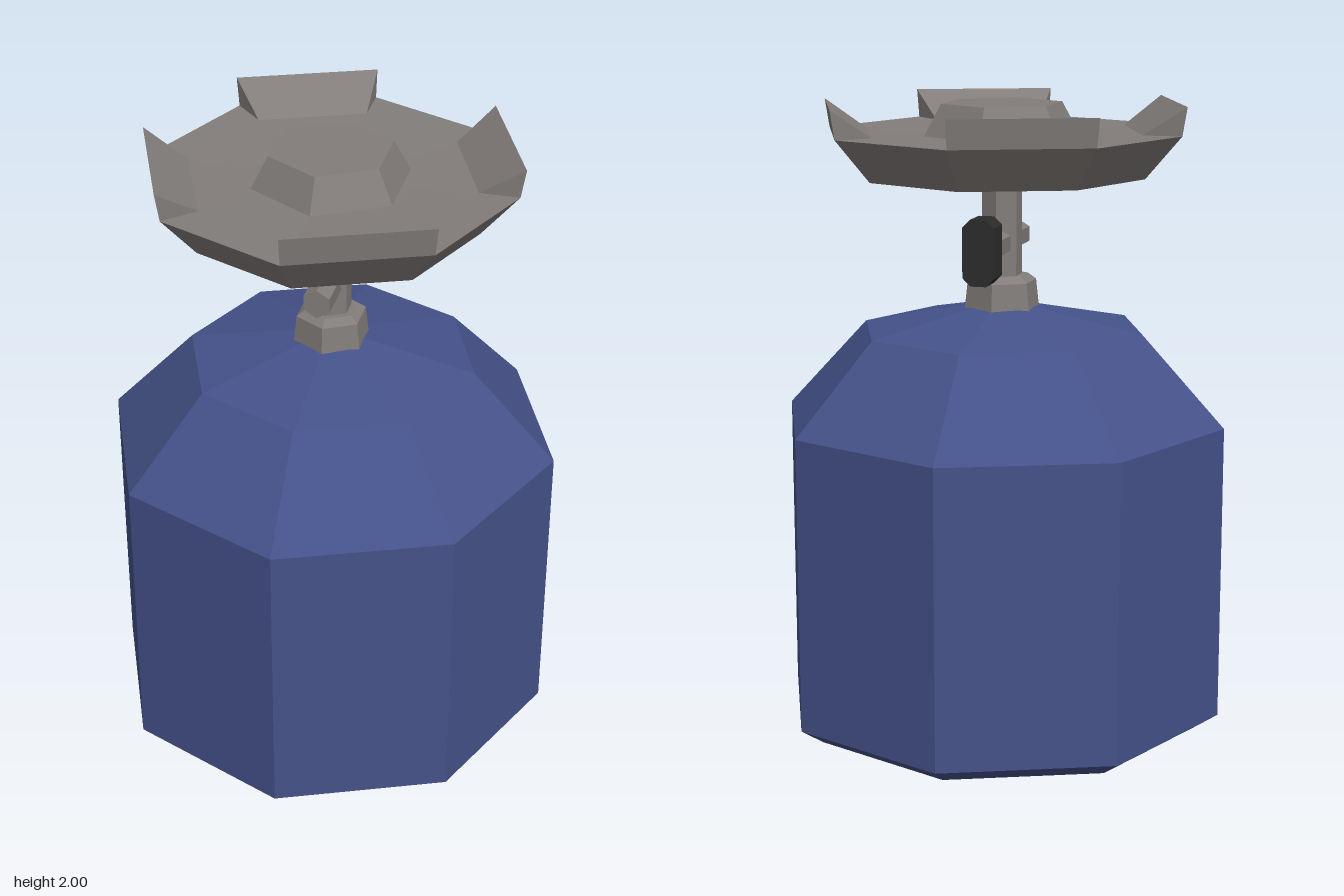
import * as THREE from 'three';

const steel = new THREE.MeshStandardMaterial({ color: 0x827d7a });
steel.name = 'warm grey steel';
const blue = new THREE.MeshStandardMaterial({ color: 0x45528a });
blue.name = 'canister blue';
const black = new THREE.MeshStandardMaterial({ color: 0x2c2c2c });
black.name = 'knob black';

// Faceted mesh: split the faces so each gets its own normal
function part(name, geometry, material) {
  const flat = geometry.index ? geometry.toNonIndexed() : geometry;
  flat.computeVertexNormals();
  const mesh = new THREE.Mesh(flat, material);
  mesh.name = name;
  return mesh;
}

// Turned shape with few sides; profile runs from bottom centre to top centre
function turned(name, profile, sides, material) {
  const points = profile.map(([r, y]) => new THREE.Vector2(r, y));
  return part(name, new THREE.LatheGeometry(points, sides), material);
}

// Wedge filling one eighth of the rim, closed at both ends
function prongGeometry() {
  const section = [[0.575, 1.91], [0.59, 2.0], [0.45, 1.91]];
  const ring = (a) => section.map(([r, y]) => [r * Math.sin(a), y, r * Math.cos(a)]);
  const s = ring(0), e = ring(Math.PI / 4);
  const triangles = [s, [e[0], e[2], e[1]]];
  for (let i = 0; i < 3; i++) {
    const j = (i + 1) % 3;
    triangles.push([s[i], e[i], s[j]], [e[i], e[j], s[j]]);
  }
  const geometry = new THREE.BufferGeometry();
  geometry.setAttribute('position', new THREE.Float32BufferAttribute(triangles.flat(2), 3));
  return geometry;
}

export function createModel() {
  const model = new THREE.Group();
  model.name = 'campingStove';

  // Gas canister
  model.add(turned('canister', [
    [0, 0], [0.65, 0], [0.725, 0.05], [0.725, 1.0], [0.46, 1.285], [0.1, 1.36], [0, 1.36],
  ], 8, blue));

  // Collar nut and stem
  model.add(turned('collar', [
    [0, 1.35], [0.122, 1.35], [0.112, 1.44], [0.085, 1.46], [0, 1.46],
  ], 6, steel));
  const stem = part('stem', new THREE.CylinderGeometry(0.065, 0.065, 0.31, 6), steel);
  stem.position.y = 1.595;
  model.add(stem);

  // Valve pipe through the stem, with the knob at the back
  const pipe = part('valvePipe', new THREE.CylinderGeometry(0.047, 0.047, 0.36, 6), steel);
  pipe.rotation.x = Math.PI / 2;
  pipe.position.set(0, 1.565, 0);
  model.add(pipe);

  const w = 0.05, h = 0.103, c = 0.025;
  const outline = new THREE.Shape([
    [w, -h + c], [w, h - c], [w - c, h], [-w + c, h],
    [-w, h - c], [-w, -h + c], [-w + c, -h], [w - c, -h],
  ].map(([x, y]) => new THREE.Vector2(x, y)));
  const knob = part('valveKnob',
    new THREE.ExtrudeGeometry(outline, { depth: 0.095, bevelEnabled: false }), black);
  knob.position.set(0, 1.563, -0.265);
  model.add(knob);

  // Dish
  model.add(turned('dish', [
    [0, 1.725], [0.46, 1.775], [0.575, 1.91], [0.25, 1.9], [0, 1.9],
  ], 8, steel));

  // Burner head
  model.add(turned('burnerHead', [[0.25, 1.9], [0.195, 2.0], [0, 2.0]], 6, steel));

  // Pot supports on every other side of the rim
  for (let i = 0; i < 4; i++) {
    const prong = part('potSupport', prongGeometry(), steel);
    prong.rotation.y = i * Math.PI / 2;
    model.add(prong);
  }
  return model;
}
